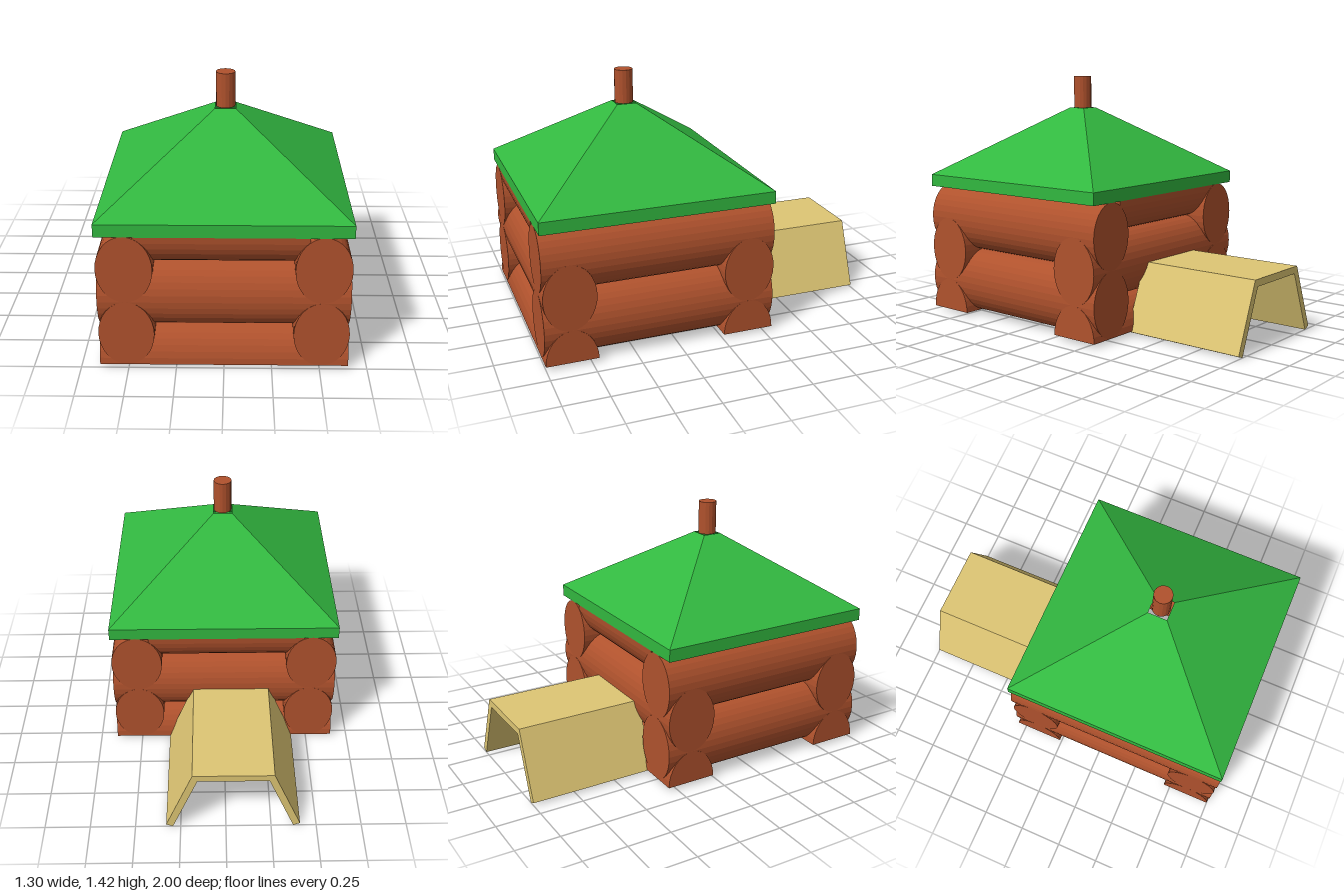
import * as THREE from 'three';

const paint = (color, side = THREE.FrontSide) =>
  new THREE.MeshStandardMaterial({ color, side, flatShading: true });

const HOUSE_Z = 0.35; // centre of the square cabin
const HALF = 0.65;    // half width of the cabin
const LOG_RX = 0.145, LOG_RY = 0.187;
const LOG_INSET = HALF - LOG_RX;

// Oval log along z, cut from startAngle to endAngle, centred on its length
function logGeometry(length, startAngle = 0, endAngle = Math.PI * 2) {
  const oval = new THREE.Shape();
  oval.absellipse(0, 0, LOG_RX, LOG_RY, startAngle, endAngle, false);
  const sides = Math.round((endAngle - startAngle) / Math.PI * 8);
  const geometry = new THREE.ExtrudeGeometry(oval, {
    depth: length, bevelEnabled: false, curveSegments: sides, steps: 1,
  });
  return geometry.translate(0, 0, -length / 2);
}

export function createModel() {
  const group = new THREE.Group();
  const wood = paint(0xb0522d);
  const green = paint(0x32b840, THREE.DoubleSide);
  const tan = paint(0xdec674, THREE.DoubleSide);

  const add = (name, geometry, material, x = 0, y = 0, z = 0) => {
    const mesh = new THREE.Mesh(geometry, material);
    mesh.name = name;
    mesh.position.set(x, y, z);
    group.add(mesh);
    return mesh;
  };

  // Log walls: full logs on the sides, interleaved with front and back logs
  const fullLog = logGeometry(2 * HALF);
  const bottomLog = logGeometry(2 * HALF, 0, Math.PI);
  const topLog = logGeometry(0.885, Math.PI, Math.PI * 2);
  const base = 0.02;
  for (const side of [-1, 1]) {
    for (const level of [1, 3]) {
      add('sideLog', fullLog, wood, side * LOG_INSET, base + level * LOG_RY, HOUSE_Z);
    }
    const z = HOUSE_Z + side * LOG_INSET;
    const crossLogs = [
      add('bottomCrossLog', bottomLog, wood, 0, base, z),
      add('middleCrossLog', fullLog, wood, 0, base + 2 * LOG_RY, z),
      add('topCrossLog', topLog, wood, -0.0125, base + 4 * LOG_RY - 0.002, z),
    ];
    crossLogs.forEach((log) => { log.rotation.y = Math.PI / 2; });
  }

  // Hollow hipped roof with upright eaves and a square chimney hole
  const profile = [[HALF, 0.765], [HALF, 0.835], [0.055, 1.235]]
    .map(([r, y]) => new THREE.Vector2(r * Math.SQRT2, y));
  const roof = new THREE.LatheGeometry(profile, 4, Math.PI / 4).toNonIndexed();
  roof.computeVertexNormals();
  add('roof', roof, green, 0, 0, HOUSE_Z);

  // Chimney
  add('chimney', new THREE.CylinderGeometry(0.052, 0.052, 0.19, 16), wood, 0, 1.33, HOUSE_Z);

  // Entrance tunnel: bent panel with splayed walls and open ends
  const section = new THREE.Shape([
    [-0.41, 0.015], [-0.373, 0], [-0.233, 0.35], [0.153, 0.35],
    [0.293, 0], [0.33, 0.015], [0.18, 0.39], [-0.26, 0.39],
  ].map(([x, y]) => new THREE.Vector2(x, y)));
  const tunnel = new THREE.ExtrudeGeometry(section, { depth: 0.73, bevelEnabled: false });
  add('entranceTunnel', tunnel, tan, 0, 0, -1);

  return group;
}
